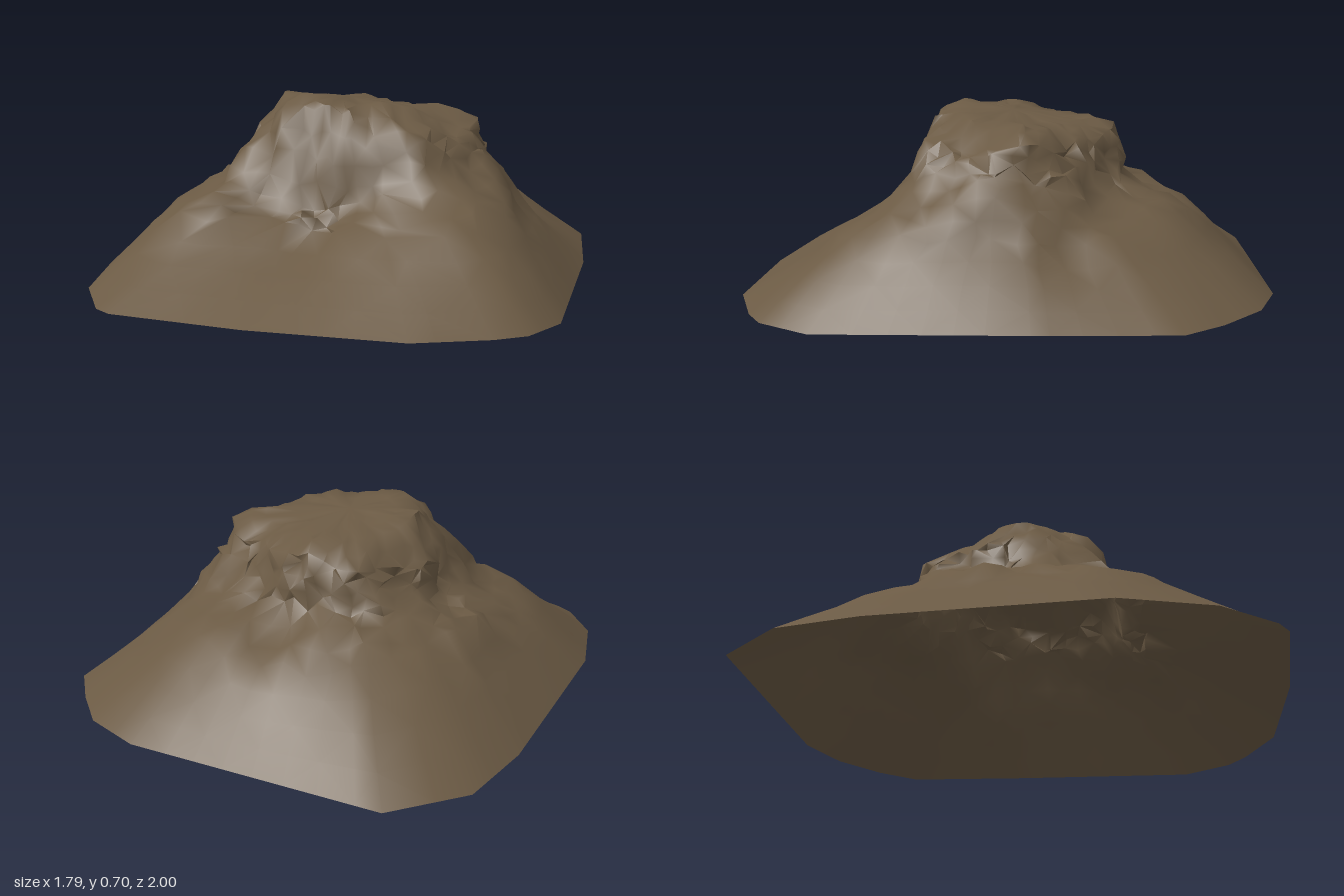
import * as THREE from 'three';
import { toCreasedNormals } from 'three/addons/utils/BufferGeometryUtils.js';

const COLUMNS = 54;

// Foot of the hill: x, y, z, in order of angle from +x towards +z
const FOOT = [
  [0.89, 0, 0.6], [0.81, 0.01, 0.79], [0.71, 0.01, 0.86], [0.46, 0.01, 0.97], [-0.09, 0.01, 1],
  [-0.59, 0.01, 0.97], [-0.66, 0.01, 0.93], [-0.8, 0.02, 0.74], [-0.885, 0.03, 0.42],
  [-0.9, 0.02, -0.4], [-0.855, 0.02, -0.71], [-0.65, 0.03, -0.96], [0.32, 0.03, -1],
  [0.55, 0.03, -0.93], [0.71, 0.02, -0.79], [0.84, 0.02, -0.65], [0.895, 0.02, -0.15],
];

// Rings above the foot: radius and height every 22.5 degrees from +x towards +z
const SHOULDER = {
  r: [0.66, 0.72, 0.79, 0.62, 0.48, 0.55, 0.76, 0.7, 0.58, 0.6, 0.66, 0.7, 0.71, 0.7, 0.7, 0.66],
  y: [0.29, 0.28, 0.27, 0.25, 0.23, 0.25, 0.27, 0.28, 0.33, 0.34, 0.33, 0.31, 0.3, 0.31, 0.28, 0.25],
};
const WALL_BASE = {
  r: [0.54, 0.54, 0.54, 0.46, 0.4, 0.43, 0.55, 0.5, 0.44, 0.45, 0.47, 0.47, 0.44, 0.46, 0.49, 0.53],
  y: [0.45, 0.42, 0.38, 0.33, 0.27, 0.32, 0.36, 0.36, 0.4, 0.41, 0.42, 0.42, 0.42, 0.41, 0.4, 0.42],
};
const RIM = {
  r: [0.45, 0.41, 0.4, 0.34, 0.29, 0.33, 0.35, 0.35, 0.36, 0.38, 0.4, 0.42, 0.39, 0.34, 0.34, 0.44],
  y: [0.57, 0.58, 0.57, 0.61, 0.65, 0.65, 0.59, 0.62, 0.57, 0.55, 0.58, 0.6, 0.59, 0.58, 0.57, 0.57],
};
const SUMMIT = {
  r: [0.32, 0.29, 0.26, 0.24, 0.22, 0.25, 0.27, 0.29, 0.3, 0.29, 0.29, 0.32, 0.29, 0.24, 0.26, 0.31],
  y: [0.64, 0.64, 0.66, 0.66, 0.68, 0.7, 0.69, 0.69, 0.68, 0.65, 0.64, 0.64, 0.64, 0.63, 0.62, 0.63],
};
const PEAK = new THREE.Vector3(-0.02, 0.67, 0);

function seeded(seed) {
  return () => {
    seed = (seed * 16807) % 2147483647;
    return seed / 2147483647;
  };
}

// Even column angles, with the nearest column moved onto each corner of the foot
function columnAngles() {
  const step = (Math.PI * 2) / COLUMNS;
  const angles = Array.from({ length: COLUMNS }, (_, j) => j * step);
  for (const [x, , z] of FOOT) {
    const angle = (Math.atan2(z, x) + Math.PI * 2) % (Math.PI * 2);
    angles[Math.round(angle / step) % COLUMNS] = angle;
  }
  return angles;
}

// Smooth periodic interpolation of a ring table
function sample(table, t) {
  const n = table.length, f = t * n, i = Math.floor(f), u = f - i;
  const [a, b, c, d] = [-1, 0, 1, 2].map((k) => table[(i + k + n) % n]);
  return b + 0.5 * u * (c - a + u * (2 * a - 5 * b + 4 * c - d + u * (3 * (b - c) + d - a)));
}

function ringPoint(ring, angle) {
  const t = angle / (Math.PI * 2), r = sample(ring.r, t);
  return new THREE.Vector3(Math.cos(angle) * r, sample(ring.y, t), Math.sin(angle) * r);
}

// Where the ray at an angle meets the straight edges of the foot
function footPoint(angle) {
  const dx = Math.cos(angle), dz = Math.sin(angle);
  for (let i = 0; i < FOOT.length; i++) {
    const p = FOOT[i], q = FOOT[(i + 1) % FOOT.length];
    const sp = dx * p[2] - dz * p[0], sq = dx * q[2] - dz * q[0];
    if (sp > 1e-9 || sq <= 1e-9 || dx * p[0] + dz * p[2] < 0) continue;
    return new THREE.Vector3(...p).lerp(new THREE.Vector3(...q), sp / (sp - sq));
  }
  return new THREE.Vector3(dx, 0, dz);
}

// Broad rock lumps that vary smoothly with position
function addLumps(v, amount) {
  const { x, y, z } = v;
  v.x += amount * Math.sin(17 * z + 9 * y + 1) * Math.cos(13 * x - 2);
  v.y += amount * Math.sin(15 * x + 2) * Math.cos(16 * z + 5 * x);
  v.z += amount * Math.sin(16 * x - 11 * y) * Math.cos(12 * z + 1);
}

function hillGeometry() {
  const random = seeded(4127);
  const angles = columnAngles();
  const rings = [
    angles.map(footPoint),
    ...[SHOULDER, WALL_BASE, RIM, SUMMIT].map((ring) => angles.map((a) => ringPoint(ring, a))),
    angles.map(() => PEAK),
  ];
  const steps = [4, 3, 4, 2, 3];
  const roughness = [0, 0.8, 1, 1, 0.6, 0.2]; // at each ring
  const rows = [];
  steps.forEach((count, s) => {
    for (let k = 0; k < count; k++) {
      const u = k / count;
      const rough = THREE.MathUtils.lerp(roughness[s], roughness[s + 1], s === 0 ? u * u * u : u);
      rows.push(rings[s].map((p, j) => {
        const v = p.clone().lerp(rings[s + 1][j], u);
        const size = 0.042 * rough * Math.min(1, Math.hypot(v.x, v.z) / 0.4);
        const jitter = () => (random() - 0.5) * size;
        addLumps(v, 0.018 * rough);
        return v.add(new THREE.Vector3(jitter(), jitter(), jitter()));
      }));
    }
  });

  const positions = rows.flat().flatMap((v) => [v.x, v.y, v.z]);
  positions.push(PEAK.x, PEAK.y, PEAK.z);
  const peak = rows.length * COLUMNS, index = [];
  for (let i = 0; i < rows.length; i++) {
    for (let j = 0; j < COLUMNS; j++) {
      const next = (j + 1) % COLUMNS;
      const a = i * COLUMNS + j, b = i * COLUMNS + next;
      if (i === rows.length - 1) {
        index.push(a, peak, b);
        continue;
      }
      const c = a + COLUMNS, d = b + COLUMNS;
      // Alternate the diagonals so the rock facets do not line up
      if ((i + j) % 2) index.push(a, c, b, b, c, d);
      else index.push(a, c, d, a, d, b);
    }
  }
  const geometry = new THREE.BufferGeometry();
  geometry.setAttribute('position', new THREE.Float32BufferAttribute(positions, 3));
  geometry.setIndex(index);
  return toCreasedNormals(geometry, 1.2);
}

export function createModel() {
  const model = new THREE.Group();
  model.name = 'rockyHill';
  const earth = new THREE.MeshStandardMaterial({ color: 0x6b5a44, side: THREE.DoubleSide });
  earth.name = 'earthBrown';

  // Open shell: smooth lower slopes, craggy wall with front spurs, uneven summit
  const hill = new THREE.Mesh(hillGeometry(), earth);
  hill.name = 'hillShell';
  model.add(hill);
  return model;
}
